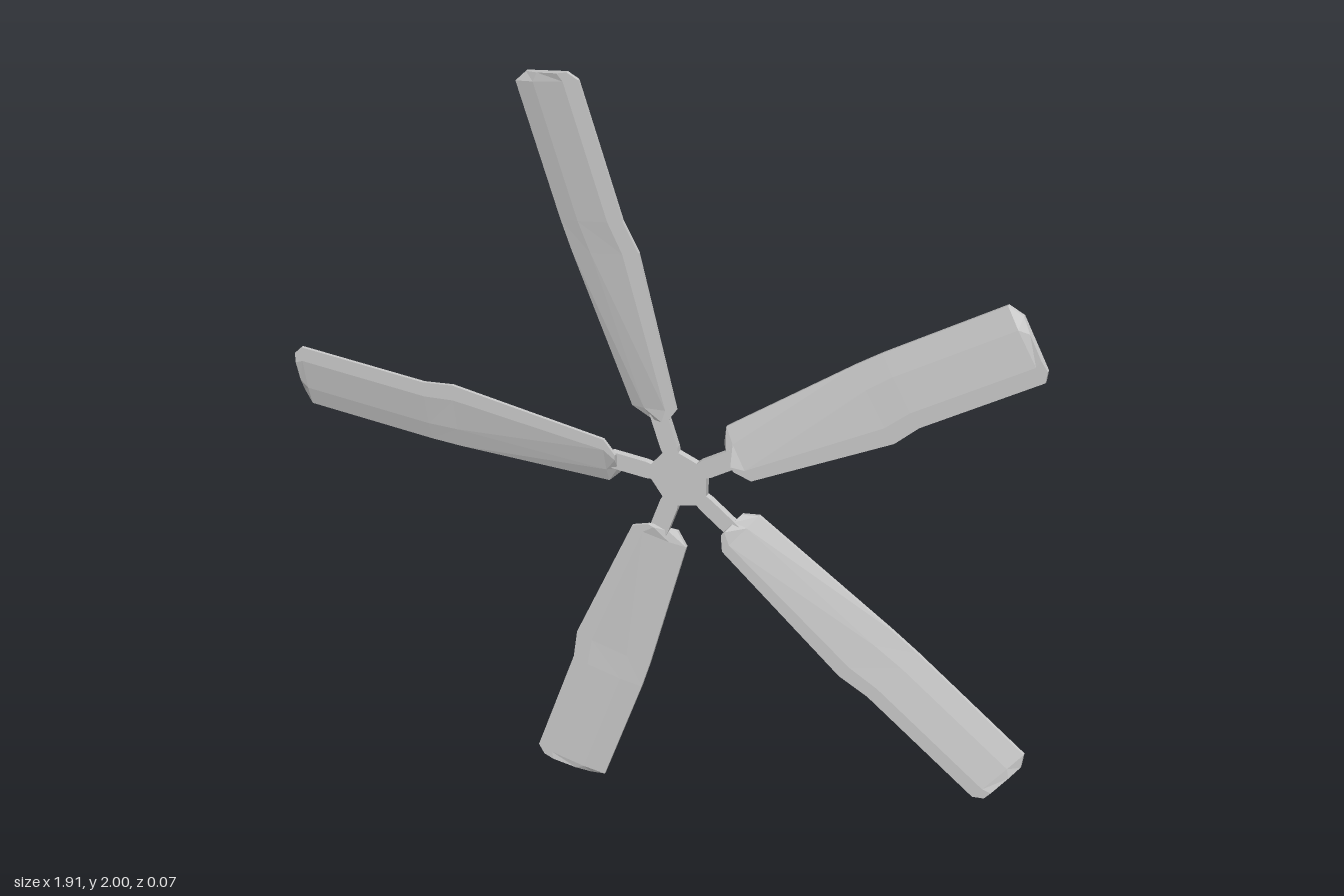
import * as THREE from 'three';

const BLADES = 5;
const STEP = (Math.PI * 2) / BLADES;

// Blade stations: distance from hub, clockwise edge, counter-clockwise edge
const STATIONS = [
  [0.16, -0.025, 0.04],
  [0.19, -0.06, 0.074],
  [0.59, -0.09, 0.102],
  [0.67, -0.075, 0.105],
  [1.01, -0.075, 0.105],
  [1.03, -0.053, 0.07],
];

// Thin pitched section: position across the chord, front z, back z
const SECTION = [
  [0, 0.034, 0.027],
  [0.22, 0.034, 0.02],
  [0.7, 0.019, 0.006],
  [1, 0.004, -0.003],
];

function bladeGeometry() {
  const front = SECTION.map(([t, f]) => [t, f]);
  const back = SECTION.map(([t, , b]) => [t, b]).reverse();
  const loop = [...front, ...back];
  const n = loop.length;
  const positions = [];
  const index = [];
  for (const [r, a, b] of STATIONS) {
    for (const [t, z] of loop) positions.push(r, a + (b - a) * t, z);
  }
  for (let s = 0; s < STATIONS.length - 1; s++) {
    for (let i = 0; i < n; i++) {
      const p = s * n + i;
      const q = s * n + ((i + 1) % n);
      index.push(p, p + n, q + n, p, q + n, q);
    }
  }
  // End caps, as strips between the front and back faces
  const last = (STATIONS.length - 1) * n;
  for (let i = 0; i < n / 2 - 1; i++) {
    const [a, b, c, d] = [i, i + 1, n - 2 - i, n - 1 - i];
    index.push(a, b, c, a, c, d);
    index.push(last + a, last + c, last + b, last + a, last + d, last + c);
  }
  const g = new THREE.BufferGeometry();
  g.setAttribute('position', new THREE.Float32BufferAttribute(positions, 3));
  g.setIndex(index);
  const flat = g.toNonIndexed();
  flat.computeVertexNormals();
  return flat;
}

// Star plate: five narrow arms joined by short flat sides
function spiderGeometry() {
  const points = [];
  const add = (angle, r, v) => points.push(new THREE.Vector2(r, v).rotateAround(new THREE.Vector2(), angle));
  for (let i = 0; i < BLADES; i++) {
    const a = Math.PI + i * STEP;
    add(a, 0.085, -0.023);
    add(a, 0.175, -0.023);
    add(a, 0.175, 0.023);
    add(a, 0.085, 0.023);
    add(a + STEP / 2, 0.07, -0.025);
    add(a + STEP / 2, 0.07, 0.025);
  }
  const g = new THREE.ExtrudeGeometry(new THREE.Shape(points), { depth: 0.014, bevelEnabled: false });
  return g.translate(0, 0, 0.008);
}

export function createModel() {
  const root = new THREE.Group();
  root.name = 'propeller';
  const rotor = new THREE.Group();
  rotor.name = 'rotor';
  rotor.position.set(0.07, 1.005, 0);
  root.add(rotor);

  const faceted = new THREE.MeshStandardMaterial({ color: 0xcccccc, flatShading: true });
  const smooth = new THREE.MeshStandardMaterial({ color: 0xcccccc });
  const add = (name, geometry, material) => {
    const mesh = new THREE.Mesh(geometry, material);
    mesh.name = name;
    rotor.add(mesh);
    return mesh;
  };

  // Blades
  const blade = bladeGeometry();
  for (let i = 0; i < BLADES; i++) {
    add('blade' + (i + 1), blade, faceted).rotation.z = Math.PI + i * STEP;
  }

  // Hub with arms, rear cone and shaft
  add('hubArms', spiderGeometry(), faceted);
  const cone = new THREE.CylinderGeometry(0.024, 0.07, 0.014, 20).rotateX(-Math.PI / 2);
  add('rearCone', cone.translate(0, 0, 0.002), smooth);
  const shaft = new THREE.CylinderGeometry(0.02, 0.02, 0.042, 16).rotateX(-Math.PI / 2);
  add('shaft', shaft.translate(0, 0, -0.016), smooth);

  return root;
}
